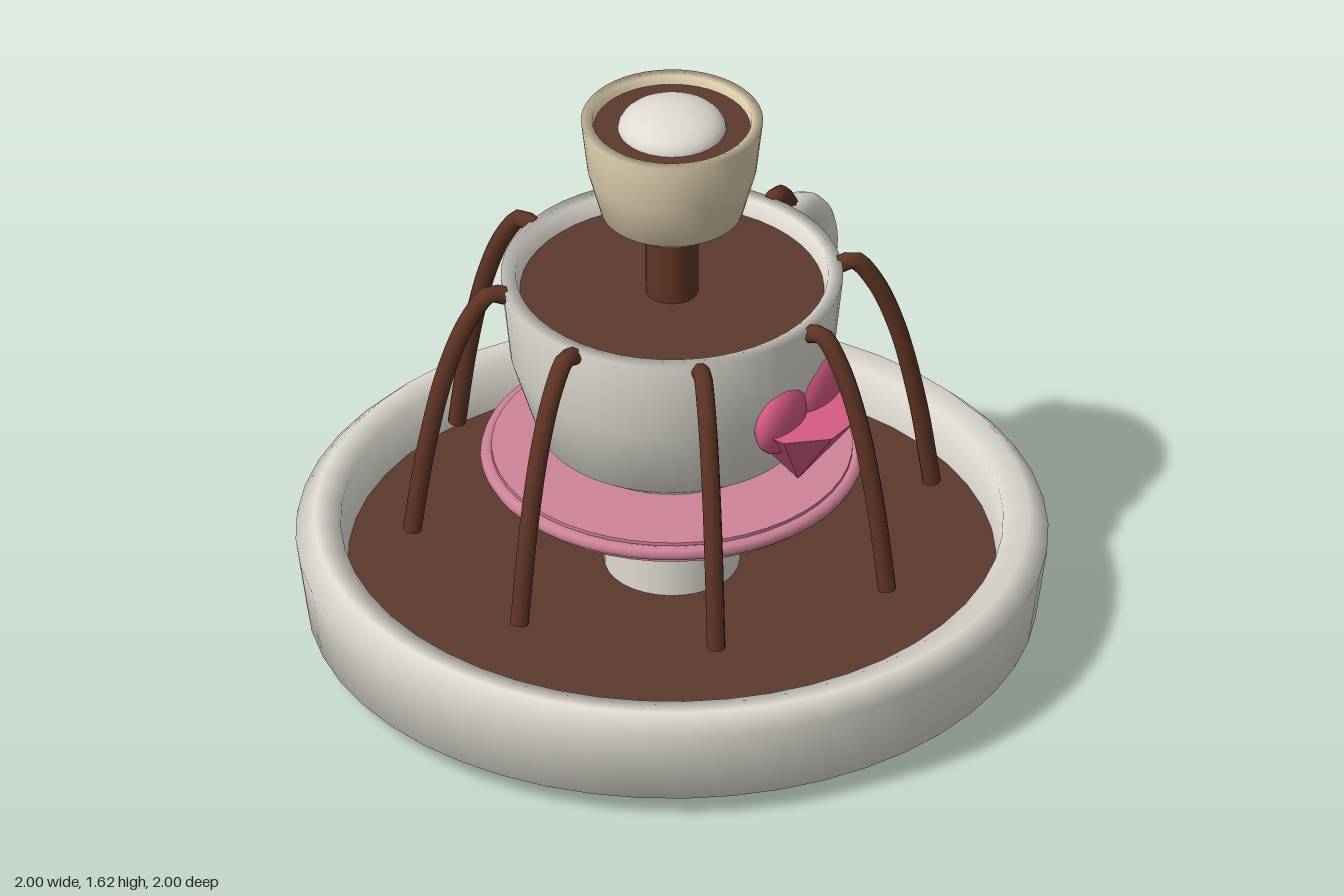
import * as THREE from 'three';

const material = (name, color) => {
  const m = new THREE.MeshStandardMaterial({ color });
  m.name = name;
  return m;
};

export function createModel() {
  const root = new THREE.Group();
  root.name = 'cupFountain';

  const porcelain = material('porcelain', 0xdfdbd2);
  const cream = material('cream', 0xdccbac);
  const chocolate = material('chocolate', 0x5c3a2d);
  const darkChocolate = material('darkChocolate', 0x5f3425);
  const saucerPink = material('saucerPink', 0xcf8398);
  const heartPink = material('heartPink', 0xd65b82);

  const add = (name, geometry, mat, x = 0, y = 0, z = 0, parent = root) => {
    const mesh = new THREE.Mesh(geometry, mat);
    mesh.name = name;
    mesh.position.set(x, y, z);
    parent.add(mesh);
    return mesh;
  };
  const lathe = (points, segments = 48) =>
    new THREE.LatheGeometry(points.map(([r, y]) => new THREE.Vector2(r, y)), segments);
  const cylinder = (r, y0, y1, segments = 48) =>
    new THREE.CylinderGeometry(r, r, y1 - y0, segments).translate(0, (y0 + y1) / 2, 0);

  // Basin ring, open underneath, with its chocolate pool
  add('basin', lathe([[0.85, 0], [0.97, 0.06], [1, 0.27], [0.95, 0.32],
    [0.88, 0.31], [0.86, 0.18], [0.85, 0]]), porcelain);
  add('basinPool', cylinder(0.865, 0.17, 0.185), chocolate);
  add('pedestal', cylinder(0.18, 0.18, 0.5, 32), porcelain);

  // Saucer with a rounded rim
  add('saucer', cylinder(0.48, 0.49, 0.55), saucerPink);
  add('saucerRim', new THREE.TorusGeometry(0.49, 0.02, 8, 48).rotateX(Math.PI / 2),
    saucerPink, 0, 0.525, 0);

  // Large cup
  add('largeCup', lathe([[0, 0.545], [0.25, 0.55], [0.36, 0.63], [0.43, 0.85],
    [0.455, 1.09], [0.415, 1.09], [0.4, 1.02]]), porcelain);
  add('largeCupPool', cylinder(0.41, 1.025, 1.04), chocolate);
  add('handle', new THREE.TorusGeometry(0.162, 0.043, 12, 36, Math.PI * 1.5)
    .rotateZ(-Math.PI * 0.75), porcelain, 0.525, 0.835, 0);

  // Column and small top cup
  add('column', cylinder(0.07, 1.03, 1.27, 24), darkChocolate);
  add('smallCup', lathe([[0, 1.245], [0.12, 1.25], [0.19, 1.3], [0.225, 1.43],
    [0.242, 1.58], [0.212, 1.58], [0.205, 1.53]]), cream);
  add('smallCupPool', cylinder(0.209, 1.54, 1.555), chocolate);
  add('topDome', new THREE.SphereGeometry(0.145, 32, 16), porcelain, 0, 1.552, 0)
    .scale.y = 0.48;

  // Heart on the front: two flattened lobes above a faceted point
  const heart = new THREE.Group();
  heart.name = 'heart';
  root.add(heart);
  for (const side of [-1, 1]) {
    add(side > 0 ? 'leftLobe' : 'rightLobe', new THREE.SphereGeometry(0.1, 24, 16),
      heartPink, side * 0.08, 0.83, 0.41, heart).scale.z = 0.48;
  }
  const point = new THREE.ConeGeometry(0.17, 0.22, 8).rotateY(Math.PI / 8)
    .rotateX(Math.PI).toNonIndexed();
  point.computeVertexNormals();
  add('heartPoint', point, heartPink, 0, 0.705, 0.41, heart);

  // Eight falling streams around the large cup
  const path = new THREE.CatmullRomCurve3([[0.45, 1.07], [0.49, 1.08], [0.545, 1.01],
    [0.605, 0.86], [0.66, 0.62], [0.7, 0.355]].map(([r, y]) => new THREE.Vector3(r, y, 0)));
  const streamGeometry = new THREE.TubeGeometry(path, 32, 0.025, 10);
  const capGeometry = new THREE.CircleGeometry(0.025, 10);
  for (let i = 0; i < 8; i++) {
    const stream = new THREE.Group();
    stream.name = 'stream' + (i + 1);
    stream.rotation.y = (i * Math.PI) / 4;
    root.add(stream);
    add('flow', streamGeometry, darkChocolate, 0, 0, 0, stream);
    for (const t of [0, 1]) {
      const end = path.getPoint(t);
      const outward = path.getTangent(t).multiplyScalar(t ? 1 : -1);
      add('flowEnd', capGeometry, darkChocolate, end.x, end.y, 0, stream)
        .quaternion.setFromUnitVectors(new THREE.Vector3(0, 0, 1), outward);
    }
  }
  return root;
}
